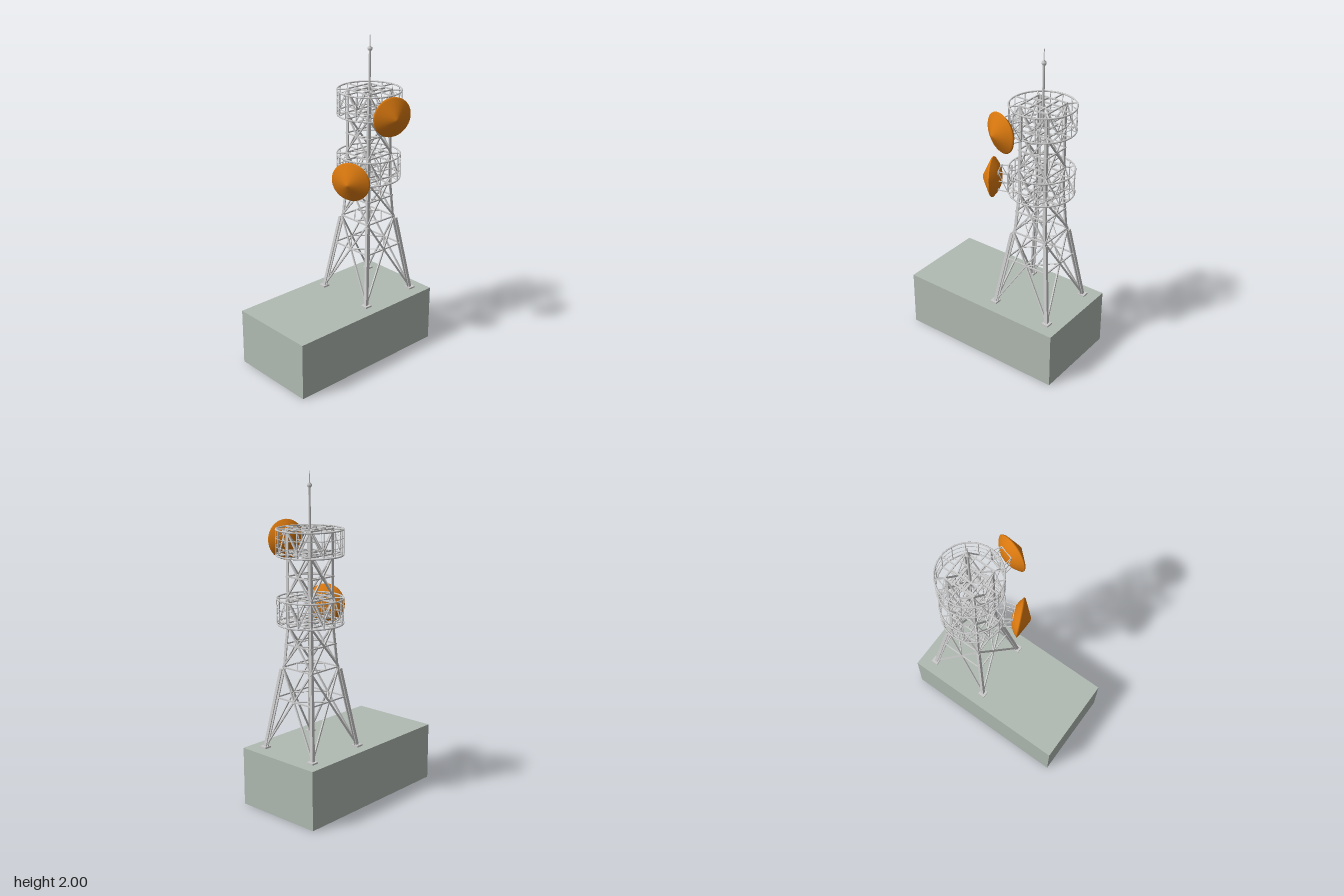
import * as THREE from 'three';
import { mergeGeometries } from 'three/addons/utils/BufferGeometryUtils.js';

const steel = new THREE.MeshStandardMaterial({ color: 0xcccccc });
const concrete = new THREE.MeshStandardMaterial({ color: 0xb0bab2 });
const orange = new THREE.MeshStandardMaterial({ color: 0xd9780f, side: THREE.DoubleSide });
const UP = new THREE.Vector3(0, 1, 0);
const V = (x, y, z) => new THREE.Vector3(x, y, z);

// Moves a geometry modelled along +y from the origin so that it runs from a towards b
function along(geo, a, b) {
  const q = new THREE.Quaternion().setFromUnitVectors(UP, b.clone().sub(a).normalize());
  return geo.applyQuaternion(q).translate(a.x, a.y, a.z).toNonIndexed();
}

function bar(a, b, w = 0.007) {
  const len = a.distanceTo(b);
  return along(new THREE.BoxGeometry(w, len, w).translate(0, len / 2, 0), a, b);
}

// L-section beam whose outer corner points to +x +z
function angleBeam(a, b, w, t) {
  const s = new THREE.Shape([[0, 0], [-w, 0], [-w, t], [-t, t], [-t, w], [0, w]]
    .map(([x, y]) => new THREE.Vector2(x, y)));
  const geo = new THREE.ExtrudeGeometry(s, { depth: a.distanceTo(b), bevelEnabled: false });
  geo.rotateX(-Math.PI / 2);
  const q = new THREE.Quaternion().setFromUnitVectors(UP, b.clone().sub(a).normalize());
  return geo.applyQuaternion(q).translate(a.x, a.y, a.z);
}

function ring(y, r, tube) {
  return new THREE.TorusGeometry(r, tube, 6, 48).rotateX(Math.PI / 2).translate(0, y, 0).toNonIndexed();
}

function part(name, geos, material = steel) {
  const m = new THREE.Mesh(Array.isArray(geos) ? mergeGeometries(geos) : geos, material);
  m.name = name;
  return m;
}

// Half width of the tower at the given height
const LEVELS = [[0.36, 0.195], [0.86, 0.116], [1.125, 0.098], [1.68, 0.097]];
function half(y) {
  for (let i = 1; i < LEVELS.length; i++) {
    const [y0, h0] = LEVELS[i - 1], [y1, h1] = LEVELS[i];
    if (y <= y1) return h0 + (h1 - h0) * (y - y0) / (y1 - y0);
  }
  return LEVELS[3][1];
}
const corner = (y, sx, sz = 1) => V(half(y) * sx, y, half(y) * sz);

// One of the four identical sides: a leg, its foot and a braced face
function towerSide() {
  const side = new THREE.Group();
  const legs = [], braces = [];
  for (let i = 1; i < LEVELS.length; i++) {
    legs.push(angleBeam(corner(LEVELS[i - 1][0], 1), corner(LEVELS[i][0], 1), 0.018, 0.006));
  }
  const a = corner(0.36, 1), b = corner(0.85, 1);
  legs.push(angleBeam(a.clone().add(V(0.009, 0, 0.009)), b.clone().add(V(0.013, 0, 0.013)), 0.02, 0.006));
  side.add(part('leg', legs));
  side.add(part('foot', new THREE.BoxGeometry(0.045, 0.01, 0.045).translate(a.x, 0.365, a.z)));

  for (const y of [0.675, 0.86, 1.0, 1.125, 1.275, 1.4, 1.53, 1.675]) {
    braces.push(bar(corner(y, -1), corner(y, 1), 0.008));
  }
  for (const [y0, y1] of [[0.37, 0.86], [0.86, 1.125], [1.275, 1.53]]) {
    for (const s of [-1, 1]) braces.push(bar(corner(y0, s), corner(y1, -s), 0.009));
  }
  // inner diamond at the middle of each panel
  for (const y of [0.675, 0.86, 1.0, 1.4]) {
    braces.push(bar(V(0, y, half(y)), V(half(y), y, 0), 0.006));
  }
  // V bracing behind each platform
  for (const [y0, y1] of [[1.125, 1.275], [1.53, 1.675]]) {
    for (const s of [-1, 1]) braces.push(bar(V(0, y0, half(y0)), corner(y1, s), 0.008));
  }
  side.add(part('braces', braces));
  return side;
}

// Round platform: two main rings, a railing cage, spokes and a square floor grid
function platform(y0, y1) {
  const g = new THREE.Group();
  const R = 0.194, h = 0.097;
  g.add(part('platformRings', [ring(y0, R, 0.005), ring(y1, R, 0.005)]));
  const rails = [1 / 3, 2 / 3].map(t => ring(y0 + (y1 - y0) * t, R, 0.0022));
  const spokes = [];
  for (let i = 0; i < 16; i++) {
    const t = i * Math.PI / 8, x = Math.cos(t), z = Math.sin(t);
    rails.push(bar(V(R * x, y0, R * z), V(R * x, y1, R * z), 0.004));
    const k = h / Math.max(Math.abs(x), Math.abs(z));
    if (i % 2 === 0) {
      for (const y of [y0, y1]) spokes.push(bar(V(k * x, y, k * z), V(R * x, y, R * z), 0.007));
    } else {
      const sx = Math.sign(x) * h, sz = Math.sign(z) * h;
      spokes.push(bar(V(sx, y1, sz), V(R * x, y0, R * z), 0.005));
      spokes.push(bar(V(sx, y0, sz), V(R * x, y0, R * z), 0.005));
    }
  }
  const grid = [];
  for (const y of [y0, y1]) {
    for (const s of [-0.035, 0.035]) {
      grid.push(bar(V(s, y, -h), V(s, y, h), 0.009), bar(V(-h, y, s), V(h, y, s), 0.009));
    }
  }
  g.add(part('railing', rails), part('spokes', spokes), part('floorGrid', grid));
  g.name = 'platform';
  return g;
}

// Antenna dish with a shallow back, a conical cover and a bracket, facing +z
function dishAntenna(y, heading) {
  const g = new THREE.Group();
  const back = [[0, -0.047], [0.03, -0.046], [0.06, -0.039], [0.09, -0.024], [0.12, 0]];
  const cover = [[0.12, 0], [0.121, 0.005], [0.114, 0.011], [0.05, 0.044], [0.012, 0.063], [0, 0.065]];
  const dish = new THREE.Group();
  for (const [name, pts] of [['dishBack', back], ['dishCover', cover]]) {
    const geo = new THREE.LatheGeometry(pts.map(([r, d]) => new THREE.Vector2(r, d)), 40);
    dish.add(part(name, geo.rotateX(Math.PI / 2), orange));
  }
  dish.position.z = 0.286;
  dish.rotation.x = 0.06;
  dish.name = 'dish';

  const bars = [];
  const n = 0.19, f = 0.25, w = 0.055, e = 0.06;
  for (const s of [-1, 1]) {
    bars.push(bar(V(s * w, -e, n), V(s * w, e, n), 0.006), bar(V(s * 0.045, -e, f), V(s * 0.045, e, f), 0.005));
    bars.push(bar(V(-w, s * e, n), V(w, s * e, n), 0.005), bar(V(-0.045, s * e, f), V(0.045, s * e, f), 0.005));
    bars.push(bar(V(s * w, -e, n), V(s * 0.045, e, f), 0.004), bar(V(s * w, s * e, n), V(-s * w, -s * e, n), 0.004));
    for (const t of [-1, 0, 1]) bars.push(bar(V(s * w, t * e, n), V(s * 0.045, t * e, f), 0.005));
  }
  g.add(dish, part('dishBracket', bars));
  g.position.y = y;
  g.rotation.y = heading;
  g.name = 'dishAntenna';
  return g;
}

export function createModel() {
  const model = new THREE.Group();
  const turn = 0.069;

  // Plinth
  const plinth = part('plinth', new THREE.BoxGeometry(1.083, 0.36, 0.571), concrete);
  plinth.position.y = 0.18;
  plinth.rotation.y = turn;
  model.add(plinth);

  // Lattice tower
  const tower = new THREE.Group();
  tower.name = 'tower';
  tower.position.set(0.253, 0, -0.02);
  for (let i = 0; i < 4; i++) {
    const side = towerSide();
    side.rotation.y = i * Math.PI / 2;
    side.name = 'towerSide';
    tower.add(side);
  }
  tower.add(platform(1.127, 1.273), platform(1.527, 1.673));

  // Mast and lower centre post
  const mast = [[0, 1.53], [0.009, 1.53], [0.009, 1.68], [0.007, 1.69], [0.007, 1.905], [0.014, 1.915],
    [0.014, 1.926], [0.003, 1.936], [0.0025, 2], [0, 2]].map(([r, y]) => new THREE.Vector2(r, y));
  tower.add(part('mast', new THREE.LatheGeometry(mast, 12)));
  tower.add(part('centrePost', new THREE.CylinderGeometry(0.011, 0.011, 0.146, 12).translate(0, 1.2, 0)));

  // Dishes, aimed away from the tower axis
  tower.add(dishAntenna(1.58, -0.233 - turn), dishAntenna(1.185, -1.069 - turn));
  tower.rotation.y = turn;
  model.add(tower);
  return model;
}
